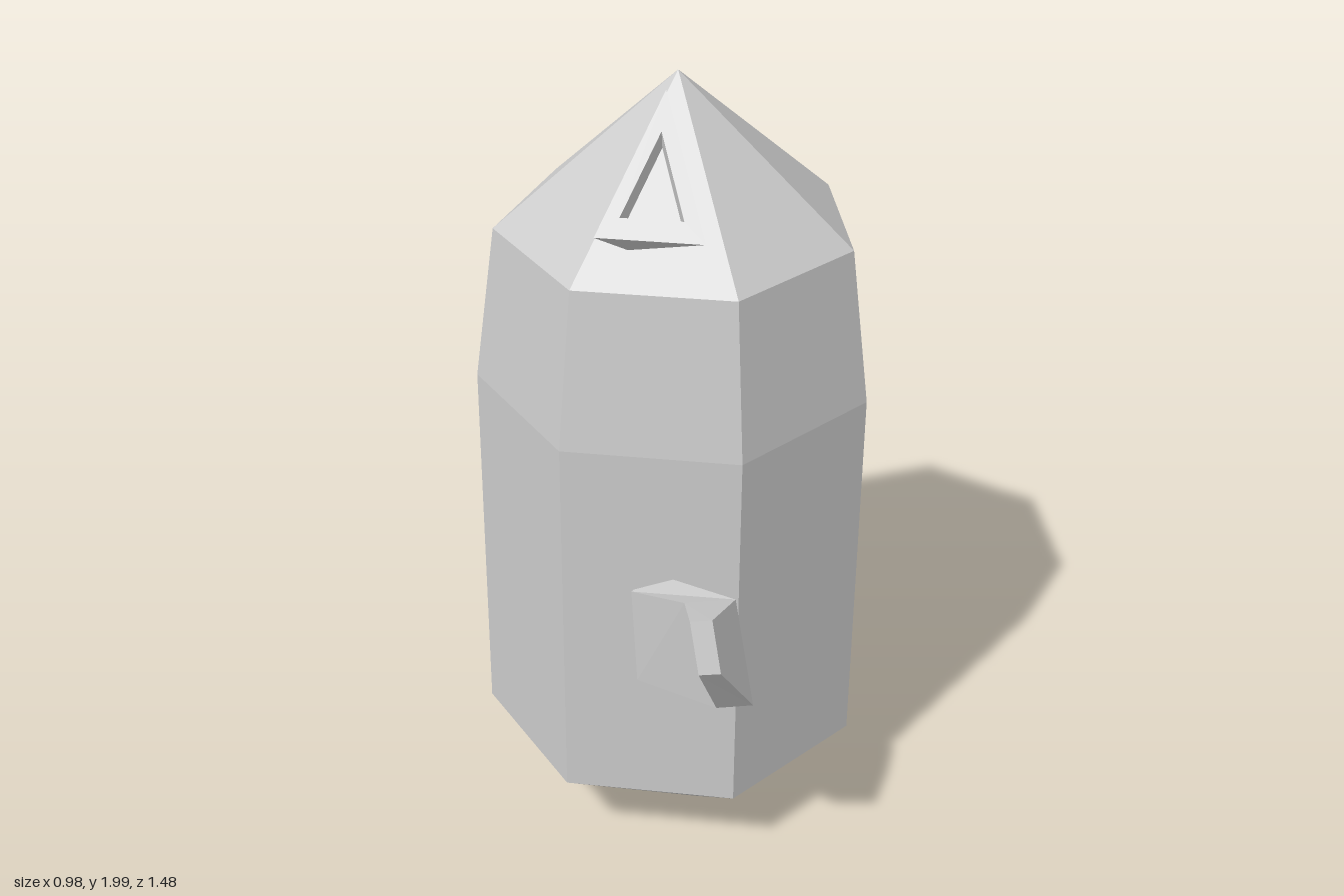
import * as THREE from 'three';

const material = new THREE.MeshStandardMaterial({ color: 0xcccccc, flatShading: true });

// Skins a closed solid through rings of equal corner count, facing outwards
function loft(name, rings) {
  const n = rings[0].length, tris = [];
  for (let r = 0; r < rings.length - 1; r++) {
    for (let i = 0; i < n; i++) {
      const j = (i + 1) % n, a = rings[r], b = rings[r + 1];
      tris.push([a[i], b[i], b[j]], [a[i], b[j], a[j]]);
    }
  }
  const first = rings[0], last = rings[rings.length - 1];
  for (let i = 1; i < n - 1; i++) {
    tris.push([first[0], first[i], first[i + 1]], [last[0], last[i + 1], last[i]]);
  }
  const volume = tris.reduce((sum, [a, b, c]) => sum + a.dot(b.clone().cross(c)), 0);
  if (volume < 0) tris.forEach((t) => t.reverse());
  const geometry = new THREE.BufferGeometry().setFromPoints(tris.flat());
  geometry.computeVertexNormals();
  const mesh = new THREE.Mesh(geometry, material);
  mesh.name = name;
  return mesh;
}

const vec = ([x, y, z]) => new THREE.Vector3(x, y, z);

// Seven-sided ring; height may depend on x
function ring(radius, height, cx = 0.015, cz = 0.097) {
  return Array.from({ length: 7 }, (_, i) => {
    const a = (i / 7) * Math.PI * 2;
    const x = cx + radius * Math.sin(a);
    return new THREE.Vector3(x, height(x), cz - radius * Math.cos(a));
  });
}

export function createModel() {
  const model = new THREE.Group();
  model.name = 'crystalFigure';

  // Crystal body: slanted underside, straight walls, shoulders and point
  const wallBottom = ring(0.487, () => 0.22);
  const wallTop = ring(0.487, () => 1.2);
  model.add(loft('body', [
    ring(0.2, (x) => 0.04 - 0.17 * x, -0.01),
    ring(0.29, (x) => 0.065 - 0.19 * x, -0.03),
    wallBottom,
    wallTop,
    ring(0.435, () => 1.59),
    ring(0.0005, () => 1.97),
  ]));

  // Shallow swelling of the wall below the rear arm
  const panel = [wallBottom[0], wallBottom[1], wallTop[1], wallTop[0]];
  const peak = vec([0.17, 0.62, -0.35]);
  model.add(loft('wallSwelling', [panel, panel.map(() => peak)]));

  // Arms: four-cornered sections at root, elbow and tip
  const arms = {
    frontArm: [
      [[-0.36, 0.83, 0.34], [-0.29, 0.85, 0.34], [-0.29, 0.58, 0.36], [-0.36, 0.58, 0.36]],
      [[-0.38, 0.91, 0.54], [-0.305, 0.93, 0.63], [-0.31, 0.67, 0.7], [-0.37, 0.66, 0.64]],
      [[-0.48, 0.97, 0.66], [-0.45, 0.98, 0.7], [-0.46, 0.86, 0.74], [-0.49, 0.85, 0.7]],
    ],
    rearArm: [
      [[0.15, 0.83, -0.29], [0.235, 0.83, -0.26], [0.25, 0.61, -0.29], [0.17, 0.61, -0.32]],
      [[0.275, 0.88, -0.56], [0.35, 0.88, -0.51], [0.39, 0.67, -0.58], [0.33, 0.67, -0.62]],
      [[0.38, 0.93, -0.7], [0.425, 0.93, -0.67], [0.445, 0.82, -0.715], [0.405, 0.82, -0.74]],
    ],
  };
  for (const [name, sections] of Object.entries(arms)) {
    model.add(loft(name, sections.map((s) => s.map(vec))));
  }

  // Triangular head ornament with a sunken centre
  const rim = [[-0.145, 2, 0.225], [-0.42, 1.755, 0.29], [-0.27, 1.755, 0.48]].map(vec);
  const back = [[-0.155, 1.77, 0.25], [-0.33, 1.7, 0.3], [-0.19, 1.7, 0.37]].map(vec);
  const centre = rim[0].clone().add(rim[1]).add(rim[2]).divideScalar(3);
  const inner = rim.map((p) => p.clone().lerp(centre, 0.42));
  const inward = vec([0.54, -0.73, -0.43]).multiplyScalar(0.04);
  const floor = inner.map((p) => p.clone().lerp(centre, 0.15).add(inward));
  model.add(loft('headOrnament', [back, rim, inner, floor]));

  return model;
}
